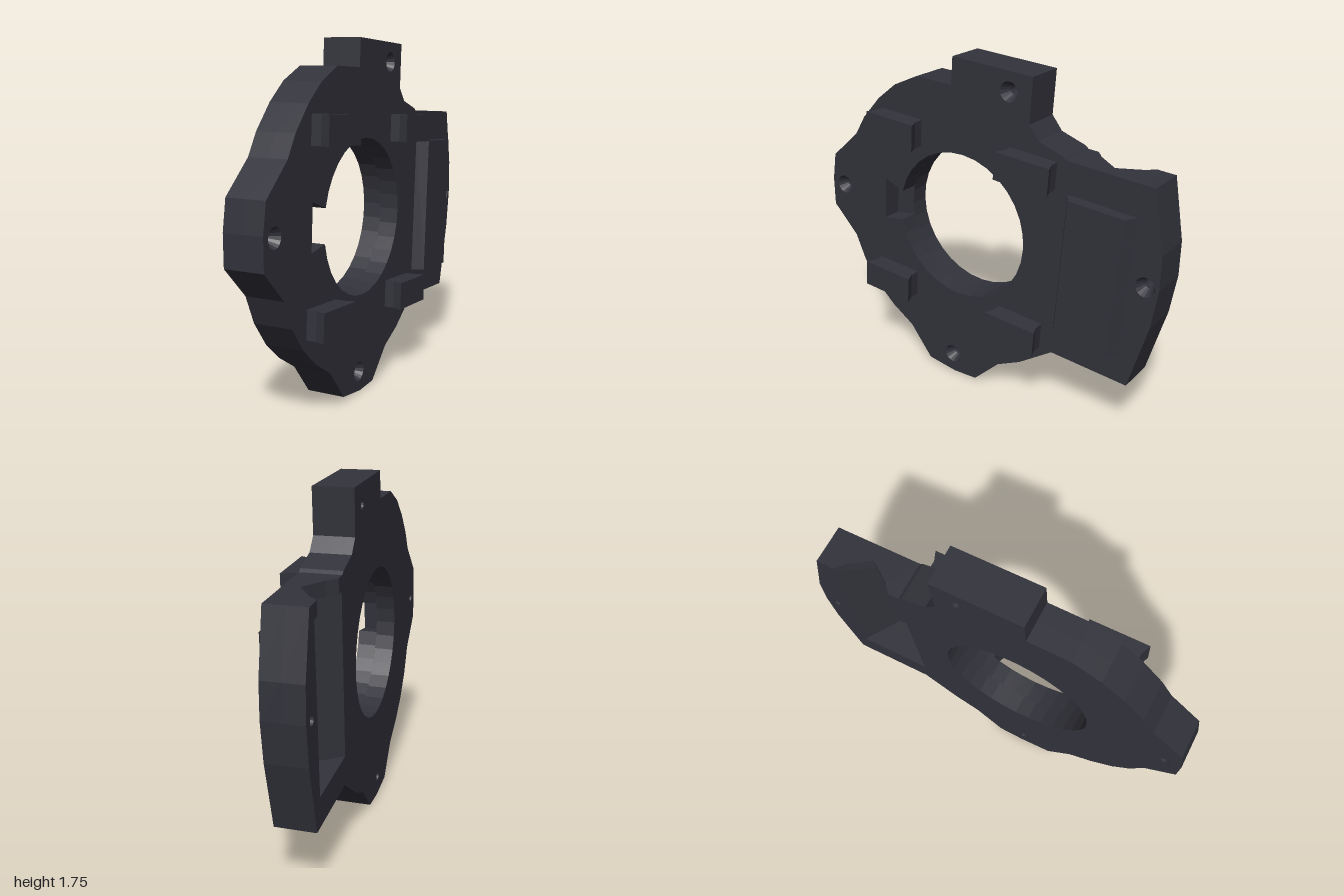
import * as THREE from 'three';

const TILT = 0.07;            // small clockwise turn shared by all fittings
const POCKET = [0.666, 0.8375];

const v2 = (list) => list.map(([x, y]) => new THREE.Vector2(x, y));

// Point given in the tilted pocket frame, returned in plate coordinates
function pocketPoint(t, s) {
  const c = Math.cos(TILT), k = Math.sin(TILT);
  return [POCKET[0] + t * c + s * k, POCKET[1] - t * k + s * c];
}

function arc(cx, cy, r, from, to, n) {
  return Array.from({ length: n + 1 }, (_, i) => {
    const a = from + (to - from) * i / n;
    return [cx + r * Math.cos(a), cy + r * Math.sin(a)];
  });
}
const circle = (cx, cy, r, n) => arc(cx, cy, r, 0, Math.PI * 2, n).slice(0, n);

// Mirror a half profile to make a closed symmetric one
const mirrored = (half) => [...half, ...half.map(([t, d]) => [-t, d]).reverse()];

export function createModel() {
  const model = new THREE.Group();
  model.name = 'mountingPlate';
  const dark = new THREE.MeshStandardMaterial({ color: 0x32323b });
  dark.name = 'charcoal';

  // Built flat (width, height, depth), then turned so depth points to +x
  const body = new THREE.Group();
  body.name = 'plateAssembly';
  body.rotation.y = Math.PI / 2;
  model.add(body);

  const add = (name, geometry, parent = body) => {
    const mesh = new THREE.Mesh(geometry, dark);
    mesh.name = name;
    parent.add(mesh);
    return mesh;
  };

  // Outline, with a slot at the upper right that receives the pocket
  const outline = [
    [-0.145, 1.755], [0.31, 1.725], [0.295, 1.5], [0.35, 1.43], [0.48, 1.385],
    pocketPoint(-0.205, 0.52), pocketPoint(-0.205, -0.36),
    pocketPoint(0.205, -0.36), pocketPoint(0.205, 0.52),
    [0.945, 1.34], [1, 1.035], [1, 0.86], [0.97, 0.66], [0.875, 0.315],
    [0.455, 0.345], [0.265, 0.215], [0.13, 0.15], [-0.02, 0.005], [-0.16, 0],
    [-0.33, 0.025], [-0.46, 0.19], [-0.59, 0.275], [-0.7, 0.375], [-0.79, 0.5],
    [-0.85, 0.64], [-1, 0.795], [-1, 0.95], [-0.975, 1.095], [-0.805, 1.245],
    [-0.74, 1.35], [-0.63, 1.47], [-0.515, 1.56], [-0.37, 1.625], [-0.155, 1.615],
  ];
  const screws = [[0.18, 1.635], [-0.915, 0.93], [0.93, 0.86], [-0.17, 0.105]];

  // Plate in two layers: the outer one has a keyed notch in the bore
  const bore = circle(-0.115, 0.885, 0.39, 32);
  const notchedBore = [
    ...arc(-0.115, 0.885, 0.39, -Math.PI + 0.16, Math.PI - 0.27, 30),
    [-0.605, 1.035], [-0.62, 0.805],
  ];
  [['plateBack', bore, -0.15], ['plateFront', notchedBore, -0.05]].forEach(([name, hole, depth]) => {
    const shape = new THREE.Shape(v2(outline));
    shape.holes.push(new THREE.Path(v2(hole)));
    for (const [u, v] of screws) shape.holes.push(new THREE.Path(v2(circle(u, v, 0.05, 16))));
    const geometry = new THREE.ExtrudeGeometry(shape, { depth: 0.1, bevelEnabled: false });
    geometry.translate(0, 0, depth);
    add(name, geometry);
  });

  // Countersunk screw holes
  for (const [u, v] of screws) {
    const profile = v2([[0.05, 0.05], [0.025, 0], [0.025, -0.15], [0.05, -0.15]]);
    const geometry = new THREE.LatheGeometry(profile, 16).toNonIndexed();
    geometry.computeVertexNormals();
    geometry.rotateX(Math.PI / 2);
    add('screwHole', geometry).position.set(u, v, 0);
  }

  // Cross-section (across, depth) swept along the tilted height
  function sweep(name, profile, low, high, parent) {
    const geometry = new THREE.ExtrudeGeometry(new THREE.Shape(v2(profile)),
      { depth: high - low, bevelEnabled: false });
    geometry.rotateX(Math.PI / 2);
    geometry.translate(0, high, 0);
    return add(name, geometry, parent);
  }
  function tilted(name, u, v) {
    const group = new THREE.Group();
    group.name = name;
    group.position.set(u, v, 0);
    group.rotation.z = -TILT;
    body.add(group);
    return group;
  }

  // Pocket: raised cover outside, deep channel behind, narrow vee at the top
  const pocket = tilted('pocket', ...POCKET);
  const channel = [[0.07, 0.03], [0.19, -0.15], [0.205, -0.15], [0.205, 0.05]];
  sweep('raisedCover', mirrored([...channel, [0.18, 0.05], [0.145, 0.11]]), -0.36, 0.36, pocket);
  sweep('channelTop', mirrored(channel), 0.36, 0.45, pocket);
  sweep('veeNotch', mirrored([[0.001, -0.03], [0.11, -0.105], [0.15, -0.15],
    [0.205, -0.15], [0.205, 0.05]]), 0.45, 0.52, pocket);

  // Four flared lugs around the bore
  const lug = mirrored([[0.13, 0.05], [0.13, 0.1], [0.15, 0.15]]);
  for (const [u, v] of [[-0.48, 1.345], [0.317, 1.293], [-0.54, 0.478], [0.258, 0.426]]) {
    sweep('lug', lug, -0.07, 0.07, tilted('lugMount', u, v));
  }

  return model;
}
